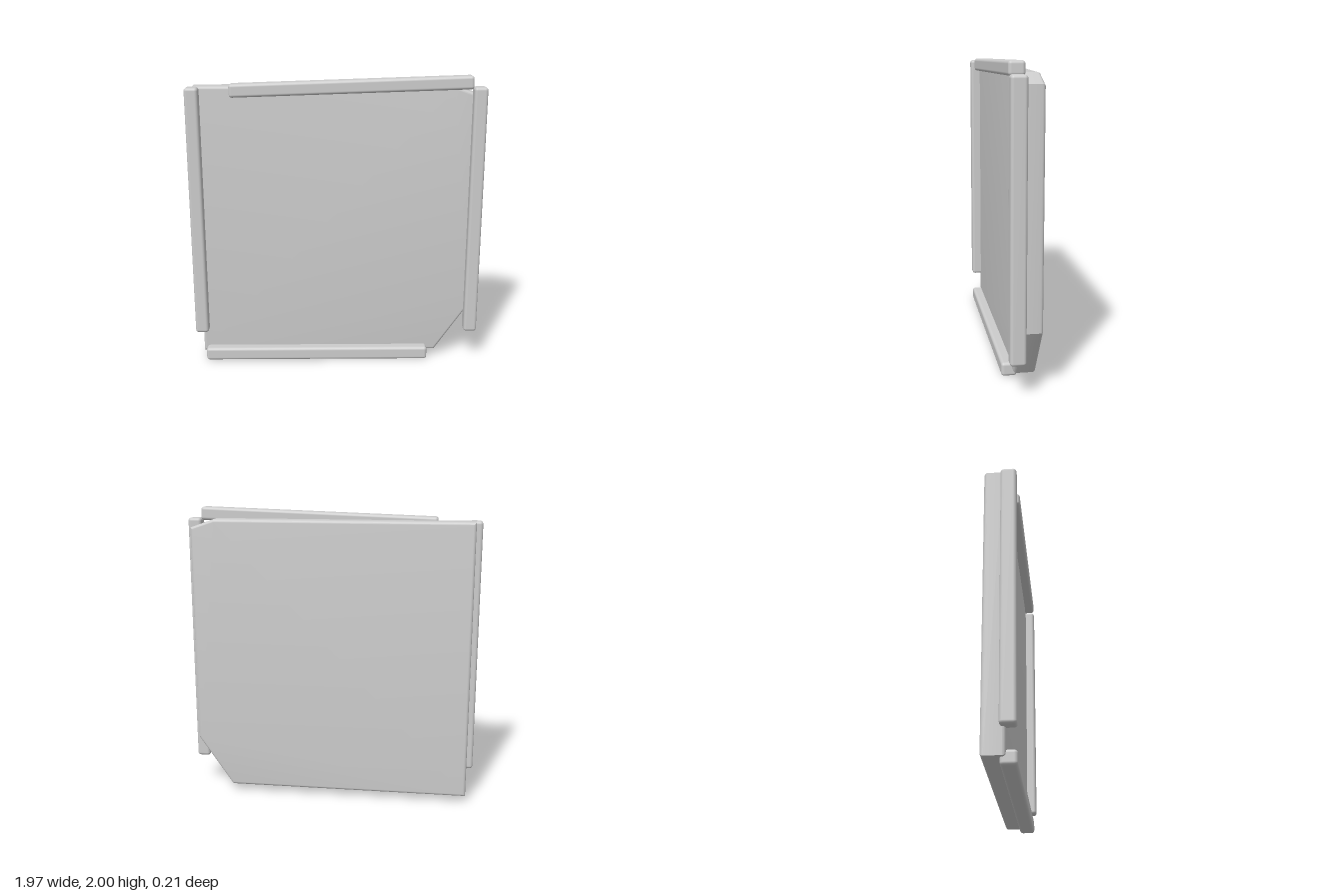
import * as THREE from 'three';
import { toCreasedNormals } from 'three/addons/utils/BufferGeometryUtils.js';
import { RoundedBoxGeometry } from 'three/addons/geometries/RoundedBoxGeometry.js';

const grey = new THREE.MeshStandardMaterial({ color: 0xcccccc });
grey.name = 'light grey';

// Slab with two clipped corners and rounded rims
function makePanel() {
  const outline = [
    [-0.943, 0.05], [0.70, 0.05], [0.94, 0.40],
    [0.94, 1.87], [0.78, 1.927], [-0.943, 1.927],
  ].map(([x, y]) => new THREE.Vector2(x, y));
  const zBack = -0.104, zFront = 0.038, bevel = 0.02;
  const geometry = new THREE.ExtrudeGeometry(new THREE.Shape(outline), {
    depth: zFront - zBack - 2 * bevel,
    bevelSize: bevel,
    bevelThickness: bevel,
    bevelOffset: -bevel,
    bevelSegments: 6,
  });
  geometry.translate(0, 0, zBack + bevel);
  const mesh = new THREE.Mesh(toCreasedNormals(geometry, 0.3), grey);
  mesh.name = 'panel';
  return mesh;
}

// Rounded rail in front of the panel
function makeRail(name, x, y, width, height, tilt = 0) {
  const mesh = new THREE.Mesh(new RoundedBoxGeometry(width, height, 0.1, 4, 0.02), grey);
  mesh.name = name;
  mesh.position.set(x, y, 0.053);
  mesh.rotation.z = tilt;
  return mesh;
}

export function createModel() {
  const model = new THREE.Group();
  model.name = 'framedPanel';
  model.add(
    makePanel(),
    makeRail('rightRail', -0.943, 1.07, 0.09, 1.71),
    makeRail('leftRail', 0.94, 1.07, 0.09, 1.71),
    makeRail('bottomRail', -0.14, 0.048, 1.56, 0.09),
    makeRail('topRail', 0.097, 1.93, 1.592, 0.088, 0.033), // slightly askew
  );
  return model;
}
